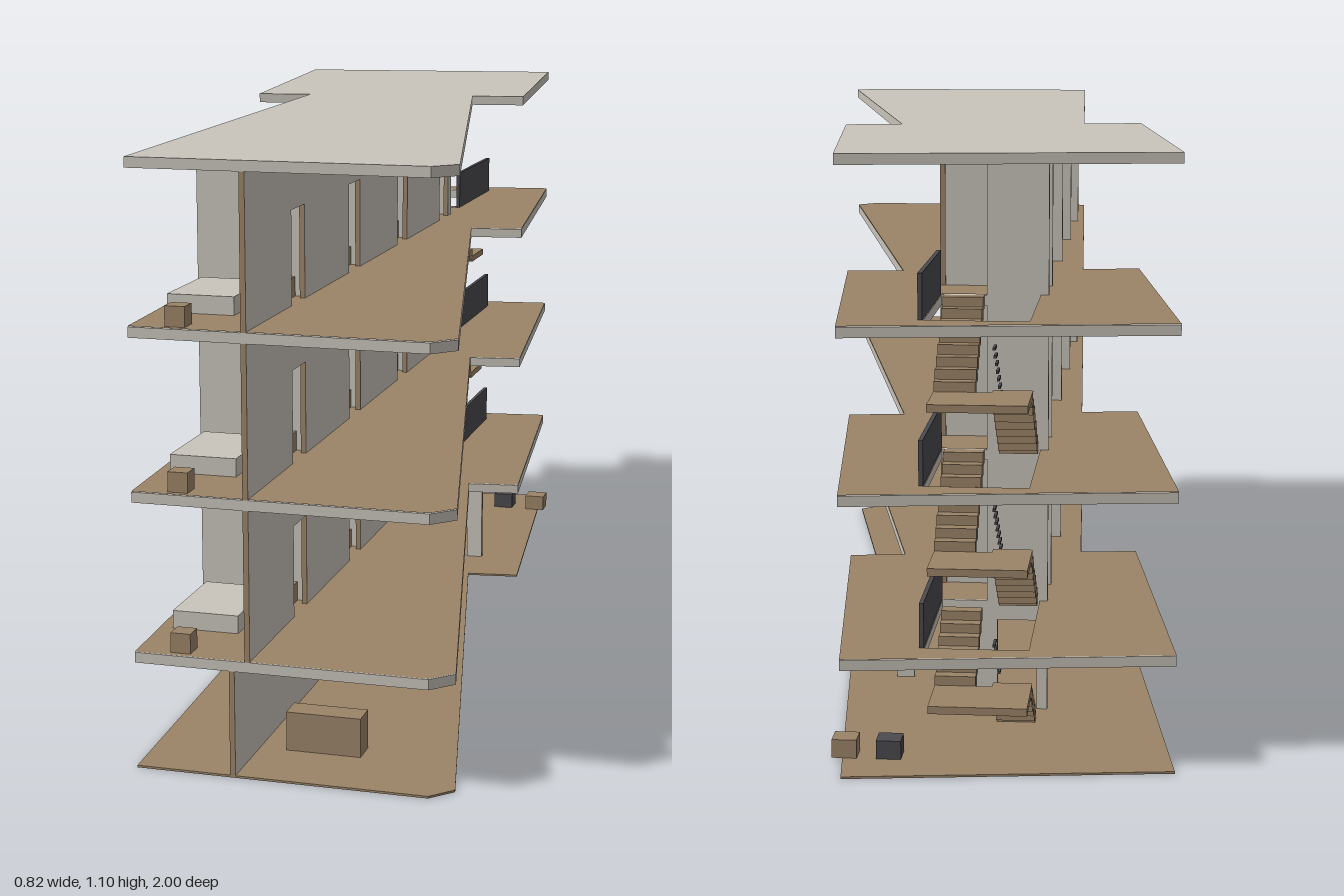
import * as THREE from 'three';

const mat = (name, color, side = THREE.FrontSide) => {
  const m = new THREE.MeshStandardMaterial({ color, side });
  m.name = name;
  return m;
};

export function createModel() {
  const model = new THREE.Group();
  model.name = 'openBuilding';
  const concrete = mat('concrete', 0xc9c4bb);
  const wood = mat('wood', 0x9b8468);
  const black = mat('blackMetal', 0x4a4a4f);

  const add = (name, geo, material, parent = model) => {
    const m = new THREE.Mesh(geo, material);
    m.name = name;
    parent.add(m);
    return m;
  };
  // Box given by its minimum and maximum corners
  const box = (name, material, x0, x1, y0, y1, z0, z1, parent) => {
    const m = add(name, new THREE.BoxGeometry(x1 - x0, y1 - y0, z1 - z0), material, parent);
    m.position.set((x0 + x1) / 2, (y0 + y1) / 2, (z0 + z1) / 2);
    return m;
  };
  const poly = (pts, C = THREE.Shape) => new C(pts.map(([x, y]) => new THREE.Vector2(x, y)));
  const rect = (a, b, c, d, C) => poly([[a, c], [b, c], [b, d], [a, d]], C);

  const T = 0.01; // wall thickness
  // Wall outline with doors cut up from its foot: grey faces, wooden edges
  const wallGeo = (a, b, h, doors, doorH) => {
    const pts = [[a, 0]];
    doors.forEach(([p, q]) => pts.push([p, 0], [p, doorH], [q, doorH], [q, 0]));
    pts.push([b, 0], [b, h], [a, h]);
    return new THREE.ExtrudeGeometry(poly(pts), { depth: T, bevelEnabled: false });
  };
  const crossWall = (name, x0, x1, y, h, z, doors, parent, doorH = 0.175) => {
    add(name, wallGeo(x0, x1, h, doors, doorH), [concrete, wood], parent)
      .position.set(0, y, z - T / 2);
  };
  const longWall = (name, z0, z1, y, h, x, doors, parent) => {
    const flipped = doors.map(([p, q]) => [-q, -p]).sort((p, q) => p[0] - q[0]);
    const g = wallGeo(-z1, -z0, h, flipped, 0.175).rotateY(Math.PI / 2);
    add(name, g, [concrete, wood], parent).position.set(x - T / 2, y, 0);
  };

  // Floor plan outline, as x and -z
  const plan = [
    [-0.165, -1], [0.37, -1], [0.409, -0.96], [0.145, 0.285], [0.255, 0.3],
    [0.175, 1], [-0.409, 0.925], [-0.325, 0.22], [-0.213, 0.235],
  ];
  const planShape = (stairwell) => {
    const s = poly(plan);
    if (stairwell) s.holes.push(rect(-0.15, 0.035, 0.605, 0.92, THREE.Path));
    return s;
  };
  const plate = (depth, hole) => new THREE.ExtrudeGeometry(
    planShape(hole), { depth, bevelEnabled: false }).rotateX(-Math.PI / 2);

  const SLAB = 0.019, PITCH = 0.293, BASE = 0.197;
  const top = (i) => (i ? BASE + (i - 1) * PITCH + SLAB : 0.004);

  // Ground and slabs
  add('ground', plate(0.004, false), wood);
  for (let i = 1; i <= 4; i++) {
    const roof = i === 4;
    add(roof ? 'roof' : 'floorSlab', plate(SLAB, !roof), concrete)
      .position.y = top(i) - SLAB;
    if (!roof) {
      const cover = new THREE.ShapeGeometry(planShape(true)).rotateX(-Math.PI / 2);
      add('woodFloor', cover, wood).position.y = top(i) + 0.0015;
    }
  }

  // Ground storey: spine wall, stair wall, side porch, counter and seats
  const ground = new THREE.Group();
  ground.name = 'groundStorey';
  model.add(ground);
  const gh = BASE - 0.004;
  longWall('spineWall', -0.6, 1, 0.004, gh, 0.015, [], ground);
  crossWall('stairWall', -0.165, 0.035, 0.004, gh, -0.6, [[-0.145, -0.07]], ground);
  crossWall('porchWall', 0.02, 0.145, 0.004, gh, -0.425, [[0.042, 0.11]], ground);
  box('counter', wood, 0.07, 0.21, 0.004, 0.077, 0.81, 0.86, ground);
  box('woodSeat', wood, 0.16, 0.205, 0.004, 0.038, -0.905, -0.86, ground);
  box('blackSeat', black, 0.08, 0.125, 0.004, 0.038, -0.905, -0.86, ground);

  // Upper storeys: four rooms along a spine wall
  const STEP = 0.373, H = PITCH - SLAB;
  for (let i = 1; i <= 3; i++) {
    const y = top(i);
    const storey = new THREE.Group();
    storey.name = 'storey' + i;
    model.add(storey);
    const doors = [];
    for (let k = 0; k < 4; k++) {
      const o = -STEP * k;
      doors.push([0.66 + o, 0.74 + o]);
      crossWall('partition', -0.165, 0.04, y, H, 0.637 + o, [], storey);
      box('bed', concrete, -0.145, -0.02, y, y + 0.035, 0.678 + o, 0.86 + o, storey);
      box('nightstand', wood, -0.015, 0.025, y, y + 0.038, 0.643 + o, 0.677 + o, storey);
      box('table', wood, -0.102, -0.065, y, y + 0.038, 0.952 + o, 0.988 + o, storey);
      if (k) box('stool', wood, -0.12, -0.085, y, y + 0.035, 0.893 + o, 0.928 + o, storey);
    }
    longWall('spineWall', -0.49, 1, y, H, 0.044, doors, storey);
    crossWall('stairWall', -0.165, -0.05, y, H, -0.6, [], storey);
    box('balustrade', black, 0.036, 0.044, y, y + 0.083, -0.92, -0.6, storey);
  }

  // Two-flight stairs with a half landing and a stepped slat rail
  for (let i = 0; i < 3; i++) {
    const stairs = new THREE.Group();
    stairs.name = 'stairs' + i;
    model.add(stairs);
    const n = i ? 8 : 6, run = 0.024, y0 = top(i);
    const rise = (top(i + 1) - y0) / (2 * n), mid = y0 + rise * n;
    box('landing', wood, -0.147, 0.03, mid - 0.014, mid, -0.92, -0.8, stairs);
    for (let s = 0; s < n; s++) {
      const za = -0.8 + run * (n - s), yl = y0 + rise * (s + 1);
      box('lowerStep', wood, -0.147, -0.075, Math.max(y0, yl - rise * 1.4), yl,
        za - run - 0.004, za, stairs);
      const zb = -0.8 + run * s, yu = mid + rise * (s + 1);
      box('upperStep', wood, -0.045, 0.03, yu - rise * 1.4, yu, zb, zb + run + 0.004, stairs);
      box('railSlat', black, -0.082, -0.077, yl + 0.078, yl + 0.083,
        za - run - 0.012, za, stairs);
    }
  }
  return model;
}
